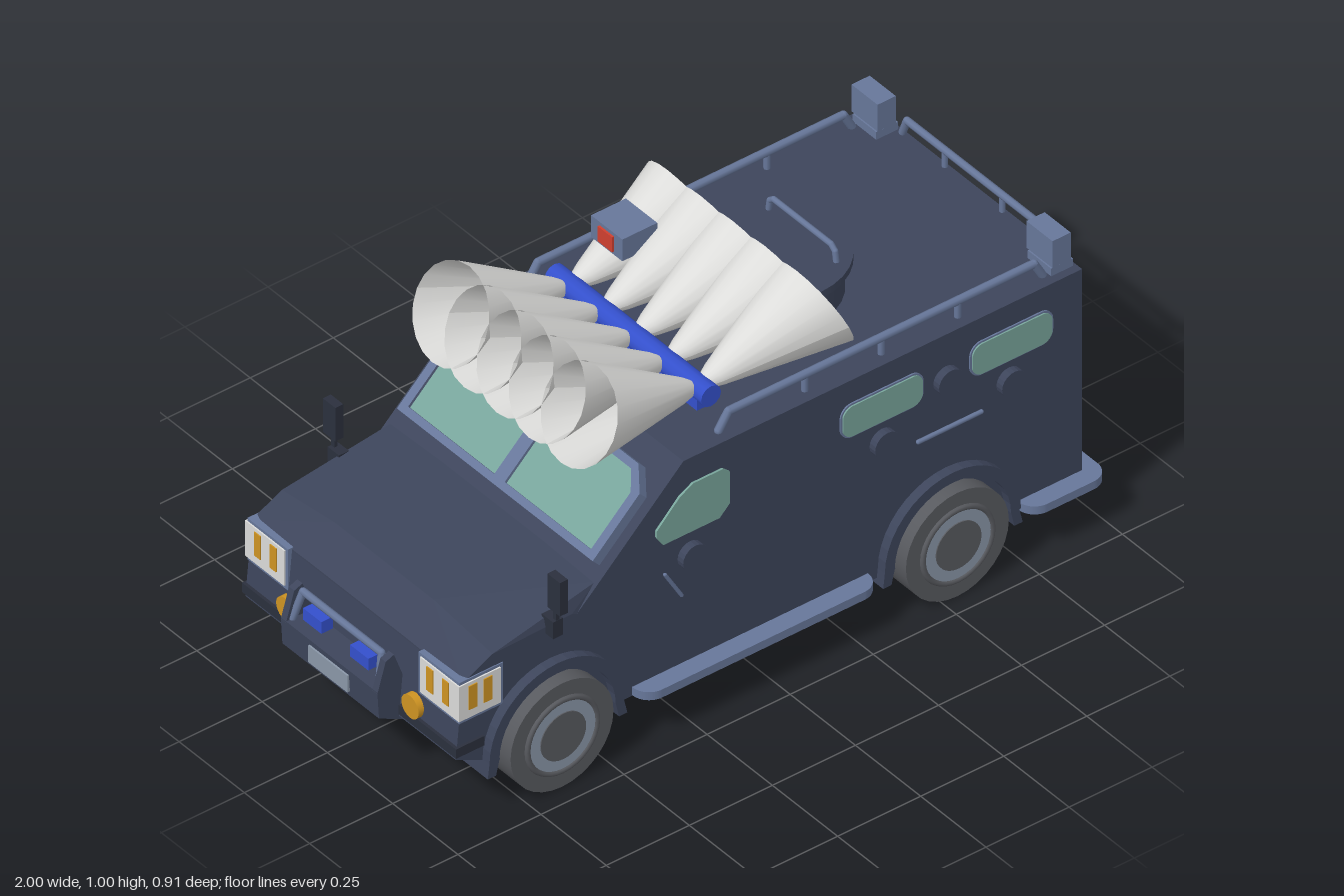
import * as THREE from 'three';
import { ConvexGeometry } from 'three/addons/geometries/ConvexGeometry.js';

const V = (x, y, z) => new THREE.Vector3(x, y, z);

export function createModel() {
  const model = new THREE.Group();
  const mat = (name, color, extra = {}) => Object.assign(new THREE.MeshStandardMaterial({ color, ...extra }), { name });
  const navy = mat('navy paint', 0x3d455b);
  const trim = mat('steel blue trim', 0x67779a);
  const glass = mat('tinted glass', 0x78a59b);
  const tyreMat = mat('tyre grey', 0x585a5f);
  const rimMat = mat('rim grey', 0x8a97a8);
  const white = mat('horn white', 0xdcdcda, { side: THREE.DoubleSide });
  const amber = mat('amber lens', 0xcf9422);
  const red = mat('red lens', 0xd0402f);
  const blue = mat('signal blue', 0x3450cc);
  const dark = mat('dark rubber', 0x2b303d);

  // ---- helpers ----
  const add = (name, geo, m, x = 0, y = 0, z = 0) => {
    const mesh = new THREE.Mesh(geo, m);
    mesh.name = name;
    mesh.position.set(x, y, z);
    model.add(mesh);
    return mesh;
  };
  const box = (name, m, x0, x1, y0, y1, z0, z1) =>
    add(name, new THREE.BoxGeometry(x1 - x0, y1 - y0, z1 - z0), m, (x0 + x1) / 2, (y0 + y1) / 2, (z0 + z1) / 2);
  const poly = (pts, hole) => {
    const s = new THREE.Shape(pts.map(p => new THREE.Vector2(p[0], p[1])));
    if (hole) s.holes.push(new THREE.Path(hole.map(p => new THREE.Vector2(p[0], p[1]))));
    return s;
  };
  const roundRect = (x0, y0, x1, y1, r) => new THREE.Shape()
    .moveTo(x0 + r, y0).lineTo(x1 - r, y0).absarc(x1 - r, y0 + r, r, -Math.PI / 2, 0)
    .lineTo(x1, y1 - r).absarc(x1 - r, y1 - r, r, 0, Math.PI / 2)
    .lineTo(x0 + r, y1).absarc(x0 + r, y1 - r, r, Math.PI / 2, Math.PI)
    .lineTo(x0, y0 + r).absarc(x0 + r, y0 + r, r, Math.PI, Math.PI * 1.5);
  const extrude = (s, depth) => new THREE.ExtrudeGeometry(s, { depth, bevelEnabled: false, curveSegments: 10 });
  // plate on a flank: s is the side, shape in (x, y), top surface at |z| = W + t
  const W = 0.403, REAR = 0.955;
  const sidePlate = (name, shape, m, s, t) =>
    add(name, extrude(shape, t + 0.002), m, 0, 0, s > 0 ? W - 0.002 : -W - t);
  // plate on the rear wall: shape in (-z, y)
  const rearPlate = (name, shape, m, t) =>
    add(name, extrude(shape, t + 0.002).rotateY(Math.PI / 2), m, REAR - 0.002, 0, 0);
  const disc = (x, y, r) => new THREE.Shape().absarc(x, y, r, 0, Math.PI * 2);
  const bar = (name, m, a, b, r) => {
    const mesh = add(name, new THREE.CylinderGeometry(r, r, a.distanceTo(b), 8), m);
    mesh.position.copy(a).add(b).multiplyScalar(0.5);
    mesh.quaternion.setFromUnitVectors(V(0, 1, 0), b.clone().sub(a).normalize());
  };
  const rail = (name, m, pts, r) => pts.forEach((p, i) => {
    if (i) bar(name, m, pts[i - 1], p, r);
    add(name, new THREE.SphereGeometry(r, 8, 6), m, p.x, p.y, p.z);
  });

  // ---- hull ----
  const hull = poly([[-0.8, 0.128], [REAR, 0.128], [REAR, 0.757], [-0.245, 0.757], [-0.515, 0.5], [-0.58, 0.44],
    [-0.83, 0.44], [-0.91, 0.41], [-0.92, 0.3], [-0.93, 0.19]]);
  add('hull', extrude(hull, 2 * W), navy, 0, 0, -W);
  const hoodPts = [];
  for (const s of [-1, 1]) hoodPts.push(V(-0.5, 0.513, s * 0.19), V(-0.83, 0.493, s * 0.19), V(-0.91, 0.415, s * 0.19),
    V(-0.5, 0.51, s * 0.39), V(-0.82, 0.455, s * W), V(-0.58, 0.46, s * W), V(-0.91, 0.41, s * W), V(-0.5, 0.42, s * W));
  add('hood', new ConvexGeometry(hoodPts), navy);

  // ---- windshield on the sloping front ----
  const shield = new THREE.Group();
  shield.name = 'windshield';
  shield.matrixAutoUpdate = true;
  shield.quaternion.setFromRotationMatrix(new THREE.Matrix4().makeBasis(V(0, 0, 1), V(0.725, 0.689, 0), V(-0.689, 0.725, 0)));
  shield.position.set(-0.385, 0.625, 0);
  model.add(shield);
  for (const s of [-1, 1]) {
    const pane = [[s * 0.02, -0.105], [s * 0.35, -0.105], [s * 0.35, 0.06], [s * 0.31, 0.105], [s * 0.02, 0.105]];
    const outer = [[0, -0.125], [s * 0.375, -0.125], [s * 0.375, 0.07], [s * 0.32, 0.125], [0, 0.125]];
    const frame = new THREE.Mesh(extrude(poly(outer, pane), 0.03), trim);
    frame.name = 'windshieldFrame';
    const gl = new THREE.Mesh(extrude(poly(pane), 0.022), glass);
    gl.name = 'windshieldPane';
    shield.add(frame, gl);
  }

  // ---- wheels and arches ----
  for (const x of [-0.645, 0.545]) for (const s of [-1, 1]) {
    const cyl = (name, m, r, w, z) => add(name, new THREE.CylinderGeometry(r, r, w, 32).rotateX(Math.PI / 2), m, x, 0.155, s * z);
    cyl('tyre', tyreMat, 0.155, 0.112, 0.391);
    cyl('rim', rimMat, 0.1, 0.004, 0.448);
    add('rimRing', new THREE.TorusGeometry(0.105, 0.008, 8, 32), tyreMat, x, 0.155, s * 0.447);
    cyl('hub', tyreMat, 0.068, 0.012, 0.447);
    const arch = new THREE.Shape().moveTo(x + 0.21, 0.112).lineTo(x + 0.2, 0.155).absarc(x, 0.155, 0.205, 0, Math.PI)
      .lineTo(x - 0.21, 0.112).lineTo(x - 0.185, 0.112).lineTo(x - 0.175, 0.155).absarc(x, 0.155, 0.175, Math.PI, 0, true)
      .lineTo(x + 0.185, 0.112);
    add('wheelArch', extrude(arch, 0.14), navy, 0, 0, s > 0 ? 0.29 : -0.43);
  }

  // ---- running boards and rear step ----
  const board = (name, x0, x1) =>
    add(name, extrude(roundRect(x0, -0.455, x1, 0.455, 0.05), 0.024).rotateX(-Math.PI / 2), trim, 0, 0.131, 0);
  board('runningBoard', -0.4, 0.31);
  board('rearStep', 0.76, 1);

  // ---- both flanks ----
  for (const s of [-1, 1]) {
    sidePlate('cabWindow', poly([[-0.33, 0.57], [-0.33, 0.59], [-0.26, 0.66], [-0.22, 0.682], [-0.13, 0.682],
      [-0.11, 0.665], [-0.11, 0.57], [-0.14, 0.54], [-0.31, 0.54]]), glass, s, 0.006);
    for (const x of [0.23, 0.62]) {
      sidePlate('windowTrim', roundRect(x - 0.005, 0.59, x + 0.245, 0.69, 0.035), trim, s, 0.004);
      sidePlate('sideWindow', roundRect(x, 0.595, x + 0.24, 0.685, 0.03), glass, s, 0.008);
    }
    for (const [x, y] of [[-0.225, 0.47], [0.353, 0.53], [0.545, 0.625], [0.735, 0.53]])
      sidePlate('gunPort', disc(x, y, 0.038), navy, s, 0.022);
    rail('doorHandle', trim, [V(-0.31, 0.455, s * 0.415), V(-0.26, 0.37, s * 0.415)], 0.005);
    rail('grabBar', trim, [V(0.45, 0.49, s * 0.418), V(0.64, 0.49, s * 0.418)], 0.006);

    // mirror on its stalk
    box('mirrorStalk', dark, -0.65, -0.64, 0.44, 0.53, s * 0.425 - 0.006, s * 0.425 + 0.006);
    box('mirrorFoot', dark, -0.66, -0.63, 0.44, 0.49, s * 0.41 - 0.022, s * 0.41 + 0.022);
    box('mirror', dark, -0.657, -0.633, 0.52, 0.62, s * 0.43 - 0.024, s * 0.43 + 0.024);

    // headlight wrapping the front corner
    const zr = (a, b) => s > 0 ? [a, b] : [-b, -a];
    box('headlightFrame', trim, -0.922, -0.79, 0.295, 0.418, ...zr(0.25, 0.406));
    box('headlight', white, -0.926, -0.8, 0.305, 0.41, ...zr(0.26, 0.41));
    for (const x of [-0.885, -0.84]) box('turnBar', amber, x - 0.013, x + 0.013, 0.33, 0.4, ...zr(0.405, 0.413));
    for (const z of [0.3, 0.36]) box('turnBarFront', amber, -0.929, -0.92, 0.33, 0.4, ...zr(z - 0.012, z + 0.012));
    add('foglight', new THREE.CylinderGeometry(0.033, 0.033, 0.02, 20).rotateZ(Math.PI / 2), amber, -0.93, 0.255, s * 0.24);
    box('bumperEnd', dark, -0.935, -0.85, 0.2, 0.228, ...zr(0.19, 0.41));

    // roof rail and beacon
    const z = s * 0.365;
    rail('roofRail', trim, [V(-0.11, 0.76, z), V(-0.08, 0.805, z), V(0.84, 0.805, z), V(0.865, 0.76, z)], 0.011);
    for (const x of [0.15, 0.38, 0.61]) bar('railPost', trim, V(x, 0.755, z), V(x, 0.805, z), 0.009);
    box('beaconFoot', trim, 0.88, 0.945, 0.755, 0.78, s * 0.335 - 0.045, s * 0.335 + 0.045);
    box('beacon', trim, 0.88, 0.935, 0.785, 0.865, s * 0.335 - 0.05, s * 0.335 + 0.05);
    box('beaconNeck', trim, 0.895, 0.925, 0.775, 0.79, s * 0.335 - 0.03, s * 0.335 + 0.03);
    add('beaconLens', extrude(roundRect(-0.04, 0.802, 0.04, 0.855, 0.01), 0.007).rotateY(Math.PI / 2), amber, 0.932, 0, s * 0.335);

    // rear doors
    const m = pts => pts.map(p => [s * p[0], p[1]]);
    const outline = m([[0.005, 0.2], [0.29, 0.2], [0.307, 0.22], [0.307, 0.55], [0.22, 0.7], [0.005, 0.7]]);
    const inner = m([[0.012, 0.212], [0.283, 0.212], [0.294, 0.225], [0.294, 0.545], [0.212, 0.688], [0.012, 0.688]]);
    rearPlate('rearDoorTrim', poly(outline, inner), trim, 0.012);
    rearPlate('rearWindowTrim', poly(m([[0.03, 0.515], [0.275, 0.515], [0.275, 0.55], [0.2, 0.668], [0.03, 0.668]])), trim, 0.006);
    rearPlate('rearWindow', poly(m([[0.04, 0.525], [0.265, 0.525], [0.265, 0.55], [0.193, 0.658], [0.04, 0.658]])), glass, 0.009);
    rearPlate('rearPort', disc(s * 0.153, 0.455, 0.04), navy, 0.015);
    rail('rearHandle', trim, [V(0.968, 0.462, s * 0.095), V(0.968, 0.372, s * 0.037)], 0.005);

    // tail lamps
    rearPlate('markerLamp', disc(s * 0.335, 0.66, 0.028), red, 0.014);
    const c = s * 0.357;
    rearPlate('tailFrame', roundRect(c - 0.033, 0.31, c + 0.033, 0.445, 0.015), trim, 0.008);
    for (const [y0, y1, col] of [[0.317, 0.355, white], [0.355, 0.395, amber], [0.395, 0.437, red]])
      rearPlate('tailLens', poly([[c - 0.023, y0], [c + 0.023, y0], [c + 0.023, y1], [c - 0.023, y1]]), col, 0.014);
  }
  rearPlate('rearDoorSeam', poly([[-0.02, 0.2], [0.02, 0.2], [0.02, 0.7], [-0.02, 0.7]]), trim, 0.01);
  rail('rearRoofRail', trim, [V(0.945, 0.76, -0.272), V(0.945, 0.805, -0.255), V(0.945, 0.805, 0.255), V(0.945, 0.76, 0.272)], 0.01);
  for (const z of [-0.11, 0.11]) bar('rearRailPost', trim, V(0.945, 0.755, z), V(0.945, 0.805, z), 0.008);

  // ---- bumper and bull bar ----
  const bumper = poly([[-0.99, 0.21], [-0.9, 0.165], [-0.9, 0.29], [-0.995, 0.29]]);
  add('bumper', extrude(bumper, 0.37), navy, 0, 0, -0.185);
  for (const s of [-1, 1])
    add('bullBarSide', extrude(poly([[-0.995, 0.285], [-0.97, 0.37], [-0.945, 0.38], [-0.91, 0.285]]), 0.02), navy, 0, 0, s * 0.175 - 0.01);
  rail('bullBar', trim, [V(-0.975, 0.29, -0.165), V(-0.955, 0.37, -0.15), V(-0.955, 0.37, 0.15), V(-0.975, 0.29, 0.165)], 0.01);
  for (const z of [-0.09, 0.09]) box('gridLight', blue, -0.975, -0.94, 0.31, 0.345, z - 0.035, z + 0.035);
  box('frontPlate', rimMat, -0.999, -0.99, 0.225, 0.275, -0.075, 0.075);

  // ---- roof hatch ----
  add('hatchRing', new THREE.CylinderGeometry(0.18, 0.18, 0.09, 32), navy, 0.33, 0.8, 0);
  add('hatchLid', new THREE.CylinderGeometry(0.2, 0.2, 0.02, 32), navy, 0.33, 0.855, 0);
  rail('hatchHandle', trim, [V(0.43, 0.86, -0.13), V(0.43, 0.893, -0.125), V(0.43, 0.905, -0.11),
    V(0.43, 0.905, 0.11), V(0.43, 0.893, 0.125), V(0.43, 0.86, 0.13)], 0.008);

  // ---- loudspeaker horns: sheared cones, five to each side ----
  const cone = new THREE.LatheGeometry([[0.02, 0], [0.034, 0.1], [0.13, 1]].map(p => new THREE.Vector2(...p)), 20)
    .applyMatrix4(new THREE.Matrix4().makeBasis(V(-0.43, -0.903, 0), V(-0.335, 0.083, 0), V(0, 0, -1)));
  cone.computeVertexNormals();
  for (let i = 0; i < 5; i++) for (const side of [0, 1]) {
    const horn = add('horn', cone, white, -0.073 + (side ? 0.02 : -0.02), 0.8, -0.255 + i * 0.123);
    horn.rotation.y = side * Math.PI;
  }
  add('hornManifold', new THREE.CylinderGeometry(0.03, 0.03, 0.6, 12).rotateX(Math.PI / 2), blue, -0.073, 0.8, -0.01);
  box('hornBase', blue, -0.1, -0.046, 0.755, 0.79, -0.29, 0.27);

  // ---- spotlight beside the hatch ----
  bar('spotlightPost', trim, V(0.075, 0.755, -0.228), V(0.075, 0.89, -0.228), 0.015);
  box('spotlight', trim, 0.02, 0.125, 0.88, 0.945, -0.288, -0.168);
  box('spotlightLens', red, 0.014, 0.021, 0.89, 0.935, -0.255, -0.2);
  return model;
}
